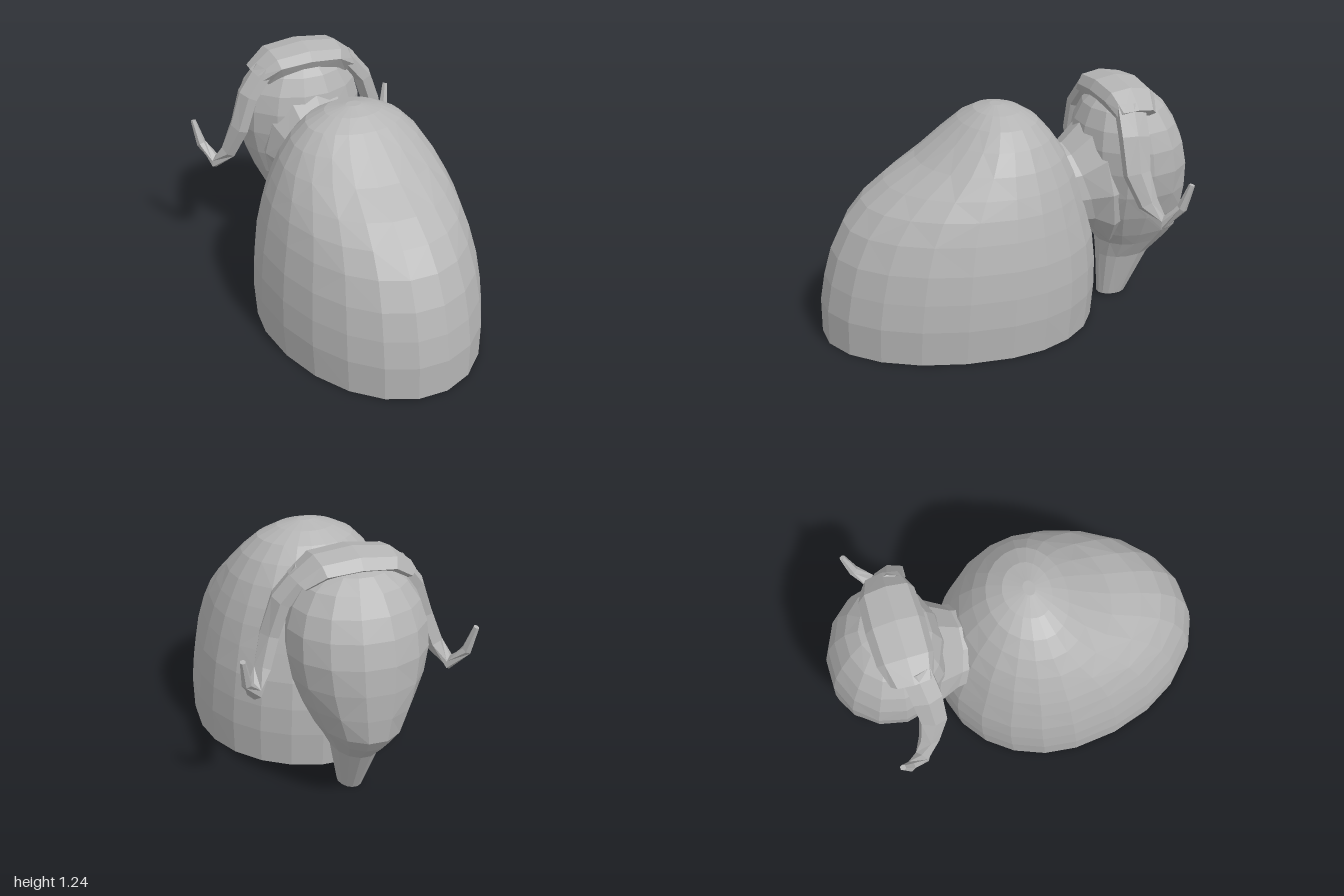
import * as THREE from 'three';

const V = (x, y, z) => new THREE.Vector3(x, y, z);

// Skin a list of equal-sized closed rings and cap both ends with fans.
function loft(rings, flip = false) {
  const n = rings[0].length, pos = [];
  const tri = (a, b, c) => (flip ? [a, c, b] : [a, b, c]).forEach(p => pos.push(p.x, p.y, p.z));
  for (let i = 0; i < rings.length - 1; i++) {
    const r0 = rings[i], r1 = rings[i + 1];
    for (let j = 0; j < n; j++) {
      const k = (j + 1) % n;
      if ((i + j) % 2) {
        tri(r0[j], r1[j], r0[k]);
        tri(r1[j], r1[k], r0[k]);
      } else {
        tri(r0[j], r1[j], r1[k]);
        tri(r0[j], r1[k], r0[k]);
      }
    }
  }
  const cap = (ring, top) => {
    const c = ring.reduce((s, p) => s.add(p), V(0, 0, 0)).divideScalar(n);
    ring.forEach((p, j) => {
      const q = ring[(j + 1) % n];
      if (top) tri(c, q, p); else tri(c, p, q);
    });
  };
  cap(rings[0], false);
  cap(rings[rings.length - 1], true);
  const g = new THREE.BufferGeometry();
  g.setAttribute('position', new THREE.Float32BufferAttribute(pos, 3));
  g.computeVertexNormals();
  return g;
}

// Elliptic ring around a centre, spanned by the half-axes u and v.
function ellipse(c, u, v, n, turn = 0) {
  return Array.from({ length: n }, (_, j) => {
    const a = (j / n) * Math.PI * 2 + turn;
    return c.clone().addScaledVector(u, Math.cos(a)).addScaledVector(v, Math.sin(a));
  });
}

// Level slices [y, z towards front, z towards back, half width, z of widest point]
function slices(rows, n) {
  return rows.map(([y, zf, zb, w, zc]) => Array.from({ length: n }, (_, j) => {
    const a = (j / n) * Math.PI * 2, s = Math.sin(a);
    return V(w * Math.cos(a), y, zc + s * (s > 0 ? zf - zc : zc - zb));
  }));
}

export function createModel() {
  const model = new THREE.Group();
  const grey = new THREE.MeshStandardMaterial({ color: 0xb4b4b4, flatShading: true });
  grey.name = 'stone grey';
  const add = (name, geometry) => {
    const mesh = new THREE.Mesh(geometry, grey);
    mesh.name = name;
    model.add(mesh);
  };

  // Humped body, sloping down towards the front
  add('body', loft(slices([
    [0, 1.0, -0.445, 0.55, 0.17],
    [0.18, 1.0, -0.46, 0.56, 0.16],
    [0.32, 0.975, -0.46, 0.552, 0.15],
    [0.46, 0.935, -0.445, 0.535, 0.14],
    [0.6, 0.865, -0.405, 0.505, 0.13],
    [0.71, 0.77, -0.37, 0.475, 0.12],
    [0.8, 0.65, -0.34, 0.44, 0.11],
    [0.9, 0.48, -0.29, 0.395, 0.1],
    [1.0, 0.35, -0.22, 0.33, 0.08],
    [1.08, 0.25, -0.15, 0.25, 0.07],
    [1.13, 0.17, -0.07, 0.15, 0.06],
    [1.155, 0.09, 0.03, 0.04, 0.06],
  ], 22)));

  // Rounded head narrowing into a beard that reaches the ground
  add('head', loft(slices([
    [0, -0.535, -0.695, 0.06, -0.61],
    [0.24, -0.525, -0.83, 0.115, -0.65],
    [0.33, -0.52, -0.93, 0.165, -0.67],
    [0.4, -0.46, -0.985, 0.21, -0.68],
    [0.52, -0.41, -0.997, 0.27, -0.68],
    [0.65, -0.39, -1.0, 0.32, -0.68],
    [0.78, -0.38, -0.993, 0.345, -0.68],
    [0.9, -0.38, -0.965, 0.34, -0.67],
    [1.0, -0.4, -0.92, 0.31, -0.66],
    [1.09, -0.44, -0.86, 0.25, -0.65],
    [1.15, -0.5, -0.79, 0.16, -0.64],
    [1.175, -0.58, -0.69, 0.06, -0.635],
  ], 14)));

  // Short tilted neck between body and head
  add('neck', loft([
    [0.64, -0.26, 0.2, 0.23, 0.08],
    [0.65, -0.385, 0.22, 0.25, 0.08],
    [0.67, -0.49, 0.27, 0.36, 0.05],
    [0.7, -0.62, 0.25, 0.3, 0.03],
  ].map(([y, z, w, h, tilt]) => ellipse(V(0, y, z), V(w, 0, 0), V(0, h, tilt), 12))));

  // Arched horn boss across the crown: profile in [height, offset towards back]
  const profile = [[0.07, 0], [0.05, 0.115], [0, 0.155], [-0.08, 0.05],
    [-0.08, -0.1], [0, -0.14], [0.05, -0.11]];
  add('hornBoss', loft([
    [-0.265, 1.095, -0.8, 0.72], [-0.17, 1.155, -0.3, 0.95], [0, 1.17, 0, 1],
    [0.17, 1.155, 0.3, 0.95], [0.265, 1.095, 0.8, 0.72],
  ].map(([x, y, t, s]) => profile.map(([h, o]) =>
    V(x + Math.sin(t) * h * s, y + Math.cos(t) * h * s, -0.6 - o * s)))));

  // Horns hang beside the head, then hook out and up: [x, y, z, half depth, half thickness]
  const path = [
    [0.23, 1.13, -0.58, 0.085, 0.05],
    [0.335, 1.0, -0.56, 0.085, 0.05],
    [0.39, 0.83, -0.555, 0.075, 0.05],
    [0.44, 0.68, -0.6, 0.055, 0.045],
    [0.5, 0.59, -0.66, 0.042, 0.036],
    [0.555, 0.68, -0.73, 0.028, 0.026],
    [0.582, 0.81, -0.765, 0.016, 0.014],
  ];
  const pts = path.map(p => V(p[0], p[1], p[2]));
  const hornRings = path.map((p, i) => {
    const d = pts[Math.min(i + 1, pts.length - 1)].clone().sub(pts[Math.max(i - 1, 0)]).normalize();
    const u = V(0, 0, 1).addScaledVector(d, -d.z).normalize();
    const v = u.clone().cross(d);
    return ellipse(pts[i], u.multiplyScalar(p[3]), v.multiplyScalar(p[4]), 6, Math.PI / 6);
  });
  add('leftHorn', loft(hornRings));
  add('rightHorn', loft(hornRings.map(r => r.map(p => V(-p.x, p.y, p.z))), true));

  return model;
}
